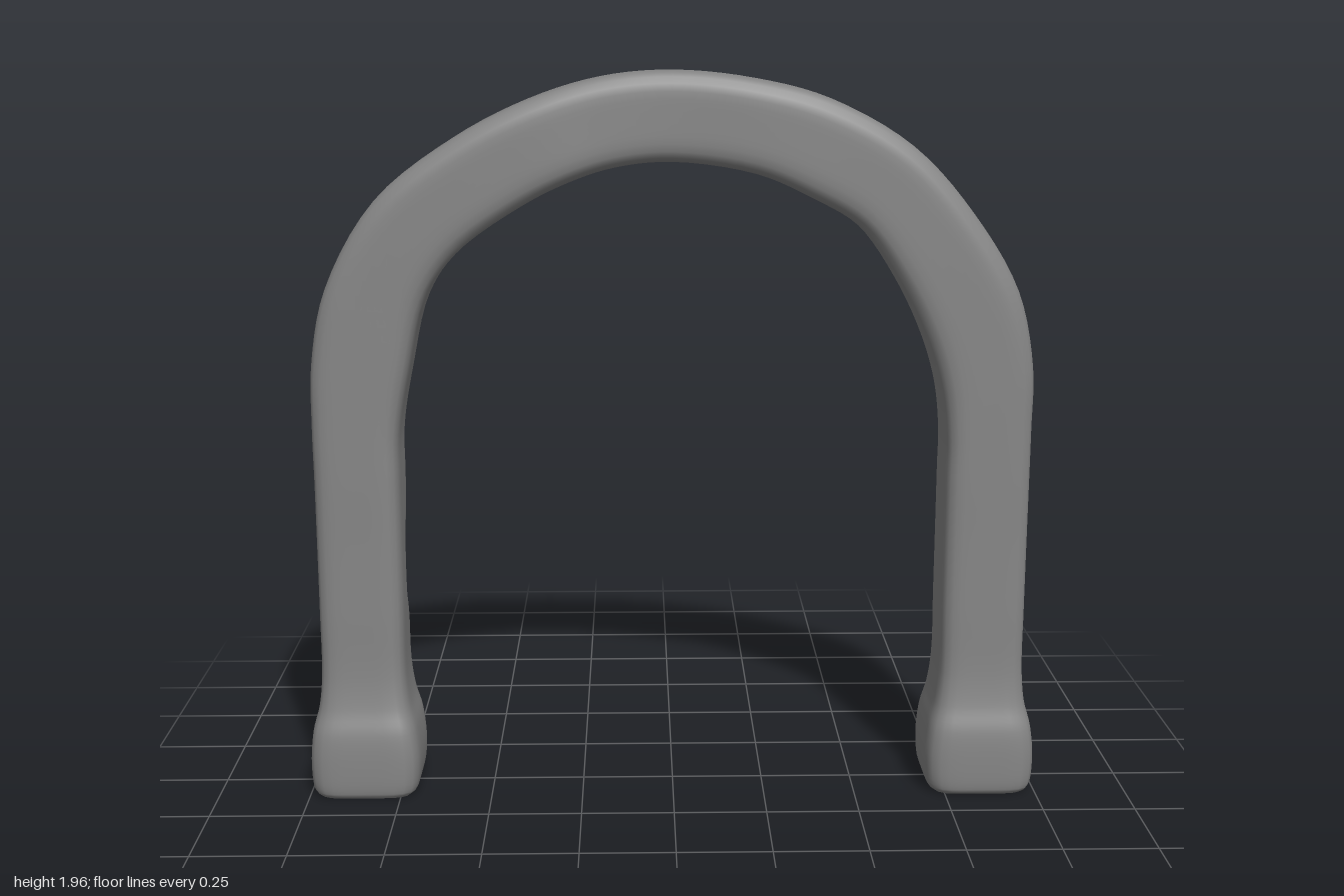
import * as THREE from 'three';

const SIDES = 48;

// Foot and leg stations: [y, outer x, inner x, half depth]
const LEG = [
  [0, 0.975, 0.72, 0.138], [0.015, 0.99, 0.706, 0.147], [0.09, 0.998, 0.697, 0.151],
  [0.18, 0.99, 0.705, 0.146], [0.25, 0.972, 0.722, 0.128], [0.34, 0.963, 0.732, 0.117],
  [0.52, 0.962, 0.732, 0.115], [0.7, 0.962, 0.732, 0.114], [0.88, 0.962, 0.732, 0.115],
];

// Arch stations from -x to +x: [outer x, outer y, inner x, inner y, half depth]
const ARCH = [
  [-0.963, 1.04, -0.73, 1.01, 0.115], [-0.958, 1.2, -0.7, 1.18, 0.115],
  [-0.915, 1.4, -0.652, 1.37, 0.115], [-0.78, 1.63, -0.57, 1.49, 0.116],
  [-0.58, 1.785, -0.4, 1.612, 0.117], [-0.38, 1.887, -0.27, 1.677, 0.116],
  [-0.19, 1.945, -0.15, 1.715, 0.109], [0, 1.962, 0, 1.729, 0.105],
  [0.22, 1.94, 0.22, 1.697, 0.113], [0.42, 1.887, 0.36, 1.637, 0.116],
  [0.63, 1.768, 0.49, 1.56, 0.115], [0.79, 1.595, 0.6, 1.41, 0.115],
  [0.915, 1.39, 0.678, 1.25, 0.115], [0.96, 1.19, 0.717, 1.12, 0.115],
  [0.962, 1.02, 0.732, 0.99, 0.115],
];

// Worn dents on back corners; side is the leg, face 1 its outer and -1 its inner corner
const DENTS = [
  { side: 1, face: 1, y: 0.7, reach: 0.2, depth: 0.032 },
  { side: -1, face: -1, y: 0.62, reach: 0.1, depth: 0.018 },
];

const legStations = (s) => LEG.map(([y, o, i, d]) => [s * o, y, s * i, y, d]);

// Sweep a rounded-square section between the outer and inner outlines
function sweepGeometry(stations, rings) {
  const outer = new THREE.CatmullRomCurve3(stations.map(([x, y, , , d]) => new THREE.Vector3(x, y, d)));
  const inner = new THREE.CatmullRomCurve3(stations.map(([, , x, y, d]) => new THREE.Vector3(x, y, d)));
  const pos = [], index = [];
  for (let r = 0; r <= rings; r++) {
    const o = outer.getPoint(r / rings), i = inner.getPoint(r / rings);
    const mid = o.clone().add(i).multiplyScalar(0.5);
    const half = o.clone().sub(i).multiplyScalar(0.5).setZ(0);
    const width = half.length();
    for (let j = 0; j < SIDES; j++) {
      const a = (j / SIDES) * Math.PI * 2, c = Math.cos(a), s = Math.sin(a);
      const k = 1 / Math.pow(Math.abs(c) ** 6 + Math.abs(s) ** 6, 1 / 6);
      let u = c * k, z = o.z * s * k;
      for (const d of DENTS) {
        if (o.x * d.side < 0.8) continue;
        const corner = (2 * Math.max(0, c * d.face) * Math.max(0, -s)) ** 2;
        const push = d.depth * corner * Math.exp(-(((o.y - d.y) / d.reach) ** 2));
        u -= (d.face * push) / width;
        z += push;
      }
      pos.push(mid.x + half.x * u, mid.y + half.y * u, z);
    }
  }
  for (let r = 0; r < rings; r++) {
    for (let j = 0; j < SIDES; j++) {
      const a = r * SIDES + j, b = r * SIDES + ((j + 1) % SIDES);
      index.push(a, b, a + SIDES, b, b + SIDES, a + SIDES);
    }
  }
  // Flat soles with their own vertices, so their edges stay sharp
  for (const r of [0, rings]) {
    const base = pos.length / 3, from = r * SIDES * 3;
    const rim = pos.slice(from, from + SIDES * 3);
    const centreX = (stations[r ? stations.length - 1 : 0][0] + stations[r ? stations.length - 1 : 0][2]) / 2;
    pos.push(...rim, centreX, 0, 0);
    for (let j = 0; j < SIDES; j++) {
      const a = base + j, b = base + ((j + 1) % SIDES);
      if (r === 0) index.push(base + SIDES, b, a);
      else index.push(base + SIDES, a, b);
    }
  }
  const geo = new THREE.BufferGeometry();
  geo.setAttribute('position', new THREE.Float32BufferAttribute(pos, 3));
  geo.setIndex(index);
  geo.computeVertexNormals();
  return geo;
}

export function createModel() {
  const group = new THREE.Group();
  group.name = 'arch';
  const stations = [...legStations(-1), ...ARCH, ...legStations(1).reverse()];
  const arch = new THREE.Mesh(
    sweepGeometry(stations, (stations.length - 1) * 5),
    new THREE.MeshStandardMaterial({ color: 0x868686 }),
  );
  arch.name = 'archWithFeet';
  group.add(arch);
  return group;
}
